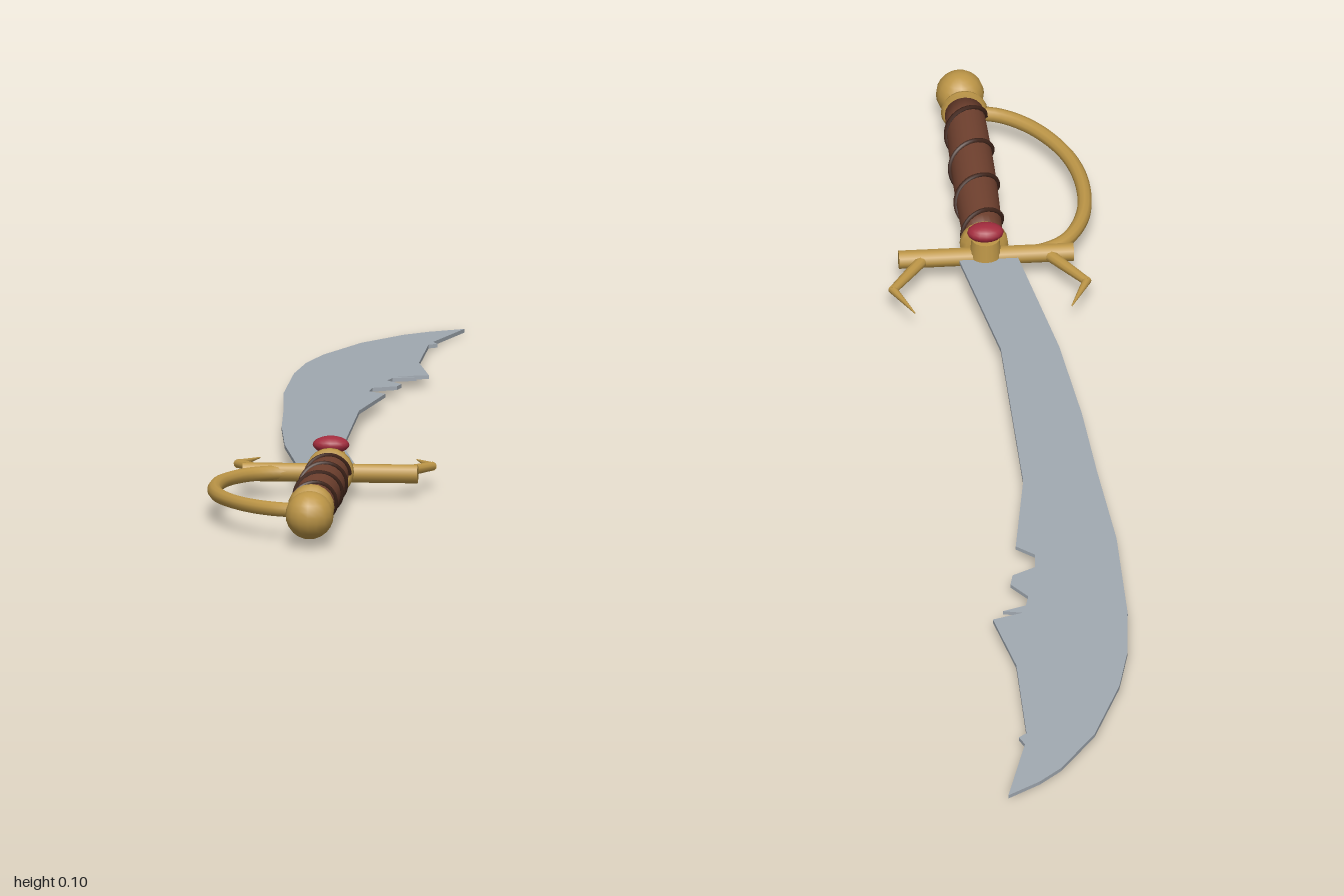
import * as THREE from 'three';

const material = (name, color, side = THREE.FrontSide) => {
  const m = new THREE.MeshStandardMaterial({ color, side });
  m.name = name;
  return m;
};

export function createModel() {
  const steel = material('steel', 0xa1a9b1);
  const gold = material('gold', 0xbd9647);
  const leather = material('leather', 0x70412f);
  const darkLeather = material('dark leather', 0x3f241a);
  const ruby = material('ruby', 0xa32c3e);

  // The sword lies flat with a slight tilt, tip towards -z
  const sword = new THREE.Group();
  sword.name = 'sword';
  sword.position.y = 0.0275;
  sword.rotation.x = -0.0235;

  const add = (name, geometry, mat, x = 0, y = 0, z = 0) => {
    const mesh = new THREE.Mesh(geometry, mat);
    mesh.name = name;
    mesh.position.set(x, y, z);
    sword.add(mesh);
    return mesh;
  };
  const curve = (points) => new THREE.CatmullRomCurve3(points.map((p) => new THREE.Vector3(...p)));

  // Tapered rod between two points
  const rod = (name, a, b, ra, rb) => {
    const from = new THREE.Vector3(...a), to = new THREE.Vector3(...b);
    const dir = to.clone().sub(from);
    const mesh = add(name, new THREE.CylinderGeometry(rb, ra, dir.length(), 10), gold);
    mesh.position.copy(from).addScaledVector(dir, 0.5);
    mesh.quaternion.setFromUnitVectors(new THREE.Vector3(0, 1, 0), dir.normalize());
  };

  // Blade: curved back, chipped cutting edge; points are x, z
  const outline = [
    [-0.04, 0.5], [-0.085, 0.24], [-0.105, 0.05], [-0.115, -0.11], [-0.13, -0.3], [-0.13, -0.51],
    [-0.12, -0.62], [-0.1, -0.71], [-0.05, -0.84], [0.01, -0.93], [0.047, -0.965], [0.1, -1],
    [0.062, -0.86], [0.07, -0.84], [0.057, -0.83], [0.057, -0.64], [0.083, -0.51], [0.035, -0.495],
    [0.065, -0.488], [0.028, -0.475], [0.022, -0.45], [0.047, -0.415], [0.042, -0.39],
    [0.005, -0.37], [0.002, -0.335], [0.03, -0.31], [0.003, -0.13], [0.007, 0.24], [0.053, 0.5],
  ];
  const blade = new THREE.ExtrudeGeometry(
    new THREE.Shape(outline.map(([x, z]) => new THREE.Vector2(x, -z))),
    { depth: 0.006, bevelEnabled: false },
  );
  blade.rotateX(-Math.PI / 2);
  add('blade', blade, steel, 0, -0.003, 0);

  // Crossguard with a bent prong at each end
  rod('crossguard', [-0.13, 0, 0.505], [0.146, 0, 0.505], 0.015, 0.015);
  for (const s of [-1, 1]) {
    const px = (d) => 0.009 + s * d;
    rod('prongBase', [px(0.1), 0, 0.5], [px(0.154), 0, 0.42], 0.01, 0.007);
    rod('prongTip', [px(0.154), 0, 0.425], [px(0.124), 0, 0.355], 0.007, 0.001);
  }

  // Ruby in a gold setting
  add('gemSetting', new THREE.CylinderGeometry(0.022, 0.025, 0.03, 16), gold, 0.009, 0.018, 0.505);
  add('gem', new THREE.SphereGeometry(1, 16, 10), ruby, 0.009, 0.045, 0.505).scale.set(0.029, 0.014, 0.021);

  // Knuckle bow
  const bow = curve([
    [-0.03, 0, 0.507], [-0.075, 0, 0.51], [-0.118, 0, 0.535], [-0.152, 0, 0.6], [-0.16, 0, 0.69],
    [-0.142, 0, 0.775], [-0.098, 0, 0.85], [-0.05, 0, 0.89], [0, 0, 0.905],
  ]);
  add('knuckleBow', new THREE.TubeGeometry(bow, 40, 0.0115, 10), gold);

  // Parts turned around the handle axis; profile points are radius, z
  const turned = (name, profile, mat) => {
    const g = new THREE.LatheGeometry(profile.map(([r, z]) => new THREE.Vector2(r, z)), 20);
    g.rotateX(Math.PI / 2);
    return add(name, g, mat, 0.009, 0.005, 0);
  };
  const gripRadius = (z) => 0.031 + 0.0035 * Math.sin(((z - 0.53) / 0.37) * Math.PI);
  const grip = [[0, 0.53]];
  for (let i = 0; i <= 10; i++) grip.push([gripRadius(0.53 + i * 0.037), 0.53 + i * 0.037]);
  grip.push([0, 0.9]);
  turned('grip', grip, leather);
  turned('frontCollar', [[0, 0.518], [0.03, 0.52], [0.038, 0.526], [0.038, 0.538], [0.032, 0.546], [0, 0.546]], gold);
  turned('rearCollar', [[0, 0.893], [0.033, 0.894], [0.037, 0.901], [0.033, 0.91], [0.02, 0.922], [0, 0.922]], gold);

  // Thin cord spiralling around the grip
  const cord = [];
  for (let i = 0; i <= 60; i++) {
    const t = i / 60, z = 0.55 + t * 0.335, a = t * Math.PI * 7;
    const r = gripRadius(z) + 0.001;
    cord.push([0.009 + r * Math.cos(a), 0.005 + r * Math.sin(a), z]);
  }
  add('gripCord', new THREE.TubeGeometry(curve(cord), 120, 0.004, 6), darkLeather);

  // Pommel
  add('pommel', new THREE.SphereGeometry(0.038, 16, 12), gold, 0.011, 0.001, 0.957);

  const model = new THREE.Group();
  model.name = 'curvedSword';
  model.add(sword);
  return model;
}
